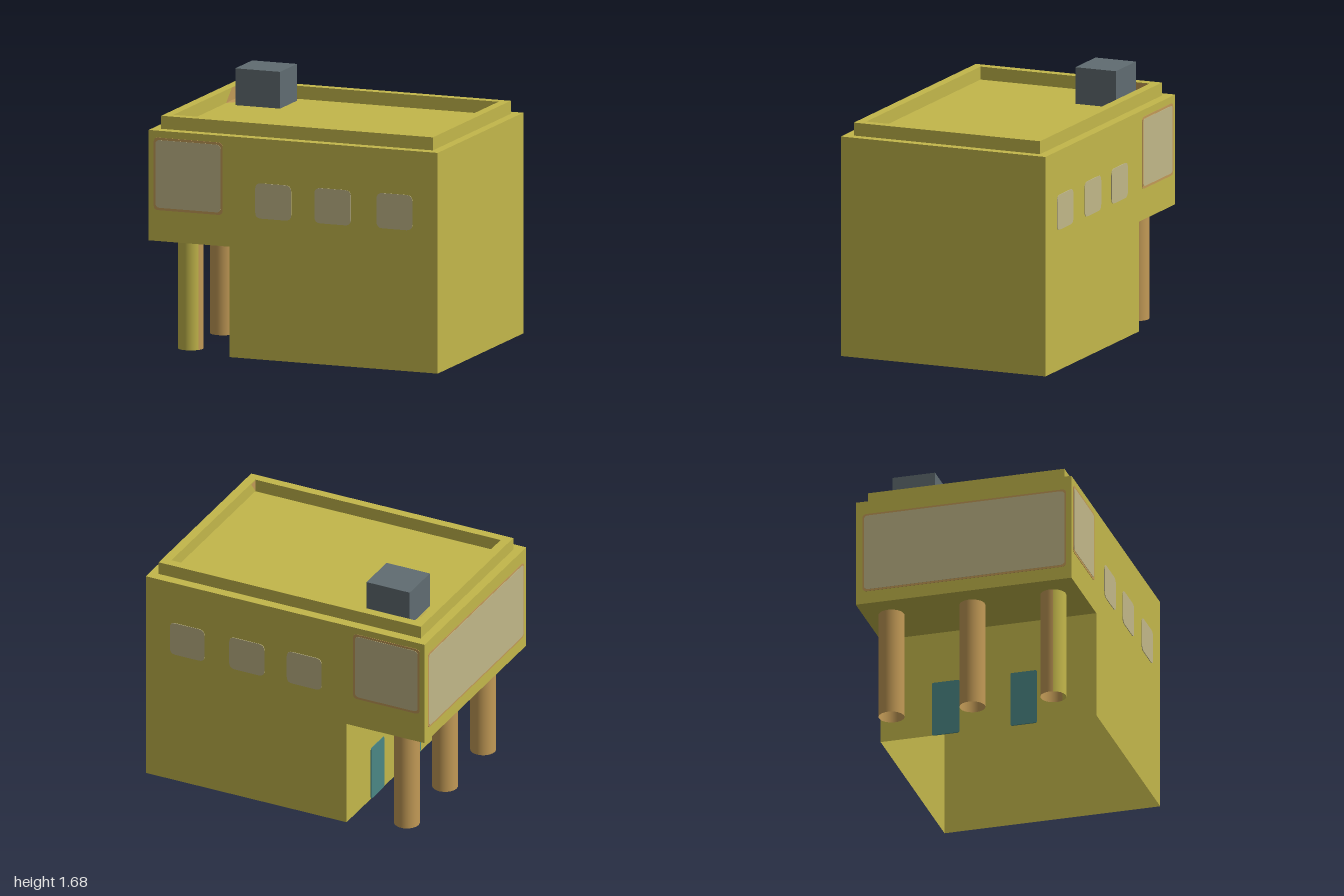
import * as THREE from 'three';

const paint = (name, color, side = THREE.FrontSide) => {
  const m = new THREE.MeshStandardMaterial({ color, side });
  m.name = name;
  return m;
};

export function createModel() {
  const yellow = paint('yellow wall', 0xc3b74b, THREE.DoubleSide);
  const tan = paint('tan', 0xc29a56, THREE.DoubleSide);
  const glass = paint('beige glass', 0xc1b788);
  const teal = paint('teal door', 0x4a8785);
  const grey = paint('slate grey', 0x606c71);

  const model = new THREE.Group();
  const add = (name, geo, mat, x = 0, y = 0, z = 0, rx = 0, ry = 0) => {
    const mesh = new THREE.Mesh(geo, mat);
    mesh.name = name;
    mesh.position.set(x, y, z);
    mesh.rotation.set(rx, ry, 0);
    model.add(mesh);
    return mesh;
  };
  const polygon = pts => new THREE.Shape(pts.map(p => new THREE.Vector2(...p)));
  const rect = (a, b, c, d) => polygon([[a, c], [b, c], [b, d], [a, d]]);

  // Thin rounded plate, centred on its wall so it shows from both sides
  const plate = (x0, x1, y0, y1, r, t) => {
    const s = new THREE.Shape();
    s.moveTo(x0 + r, y0).lineTo(x1 - r, y0).quadraticCurveTo(x1, y0, x1, y0 + r);
    s.lineTo(x1, y1 - r).quadraticCurveTo(x1, y1, x1 - r, y1);
    s.lineTo(x0 + r, y1).quadraticCurveTo(x0, y1, x0, y1 - r);
    s.lineTo(x0, y0 + r).quadraticCurveTo(x0, y0, x0 + r, y0);
    return new THREE.ExtrudeGeometry(s, { depth: t, bevelEnabled: false, curveSegments: 4 })
      .translate(0, 0, -t / 2);
  };

  const W = 1, H = 1.44, D = 0.72, FOOT = -0.44, MID = 0.72;
  const Q = Math.PI / 2;

  // Hollow body, open underneath, with an upper storey overhanging to one side
  const profile = polygon([[FOOT, 0], [W, 0], [W, H], [-W, H], [-W, MID], [FOOT, MID]]);
  add('frontWall', new THREE.ShapeGeometry(profile), yellow, 0, 0, D);
  add('backWall', new THREE.ShapeGeometry(profile).scale(-1, 1, 1).rotateY(0), yellow, 0, 0, -D, 0, Math.PI)
    .geometry = backFace(profile);
  add('leftWall', new THREE.PlaneGeometry(2 * D, H), yellow, W, H / 2, 0, 0, Q);
  add('upperRightWall', new THREE.PlaneGeometry(2 * D, H - MID), yellow, -W, (H + MID) / 2, 0, 0, -Q);
  add('entranceWall', new THREE.PlaneGeometry(2 * D, MID), yellow, FOOT, MID / 2, 0, 0, -Q);
  add('overhangCeiling', new THREE.PlaneGeometry(W + FOOT, 2 * D), yellow, (FOOT - W) / 2, MID, 0, Q);
  add('roof', new THREE.PlaneGeometry(2 * W, 2 * D), yellow, 0, H, 0, -Q);

  // Parapet ring around the roof
  const ring = rect(-0.94, 0.94, -0.655, 0.655);
  ring.holes.push(rect(-0.88, 0.88, -0.595, 0.595));
  add('parapet', new THREE.ExtrudeGeometry(ring, { depth: 0.085, bevelEnabled: false }), yellow, 0, H, 0, -Q);

  // Rooftop unit
  add('roofUnit', new THREE.BoxGeometry(0.31, 0.24, 0.285), grey, -0.645, H + 0.12, -0.393);

  // Worn patches in the roof corner
  const stain = polygon([[-0.88, 0.595], [-0.88, 0.28], [-0.84, 0.31], [-0.825, 0.4], [-0.84, 0.5],
    [-0.84, 0.55], [-0.8, 0.56], [-0.79, 0.535], [-0.54, 0.535], [-0.52, 0.595]]);
  add('roofStain', new THREE.ShapeGeometry(stain), tan, 0, H + 0.003, 0, -Q);
  add('parapetBackStain', new THREE.ShapeGeometry(polygon([[-0.88, 0], [-0.5, 0], [-0.6, 0.083], [-0.88, 0.083]])),
    tan, 0, H, -0.592);
  add('parapetSideStain', new THREE.ShapeGeometry(polygon([[0.28, 0], [0.592, 0], [0.592, 0.083], [0.38, 0.083]])),
    tan, -0.877, H, 0, 0, Q);
  add('parapetCornerStain', new THREE.ShapeGeometry(polygon([[-0.595, 0], [-0.53, 0.083], [-0.595, 0.083]])),
    tan, 0.877, H, 0, 0, -Q).scale.x = -1;

  // Windows on the front and back
  for (const [side, z] of [['front', D], ['back', -D]]) {
    add(side + 'LargeWindowFrame', plate(-0.965, -0.488, 0.922, 1.395, 0.03, 0.005), tan, 0, 0, z);
    add(side + 'LargeWindow', plate(-0.952, -0.502, 0.938, 1.38, 0.03, 0.009), glass, 0, 0, z);
    for (const [x0, x1] of [[-0.262, -0.013], [0.148, 0.4], [0.578, 0.826]])
      add(side + 'Window', plate(x0, x1, 0.92, 1.15, 0.04, 0.008), glass, 0, 0, z);
  }

  // Wide window above the pillars
  add('sideWindowFrame', plate(-0.675, 0.685, 0.805, 1.35, 0.03, 0.005), tan, -W, 0, 0, 0, -Q);
  add('sideWindow', plate(-0.665, 0.675, 0.818, 1.338, 0.03, 0.009), glass, -W, 0, 0, 0, -Q);

  // Doors under the overhang
  for (const [z0, z1] of [[-0.377, -0.193], [0.147, 0.324]])
    add('door', plate(z0, z1, 0, 0.37, 0.012, 0.008), teal, FOOT, 0, 0, 0, -Q);

  // Open pillars; the front one is partly painted yellow
  const pillar = (mat, z, start, sweep) => add('pillar',
    new THREE.CylinderGeometry(0.083, 0.083, MID, 32, 1, true, start, sweep), mat, -0.785, MID / 2, z);
  pillar(tan, -0.545, 0, 2 * Math.PI);
  pillar(tan, -0.005, 0, 2 * Math.PI);
  const from = -1.3, to = 1.05;
  pillar(yellow, 0.535, from, to - from);
  pillar(tan, 0.535, to, 2 * Math.PI - (to - from));

  return model;
}

// Flat wall turned to face backwards: mirrored outline, to be rotated half a turn
function backFace(shape) {
  const mirrored = new THREE.Shape(shape.getPoints().map(p => new THREE.Vector2(-p.x, p.y)));
  return new THREE.ShapeGeometry(mirrored);
}
